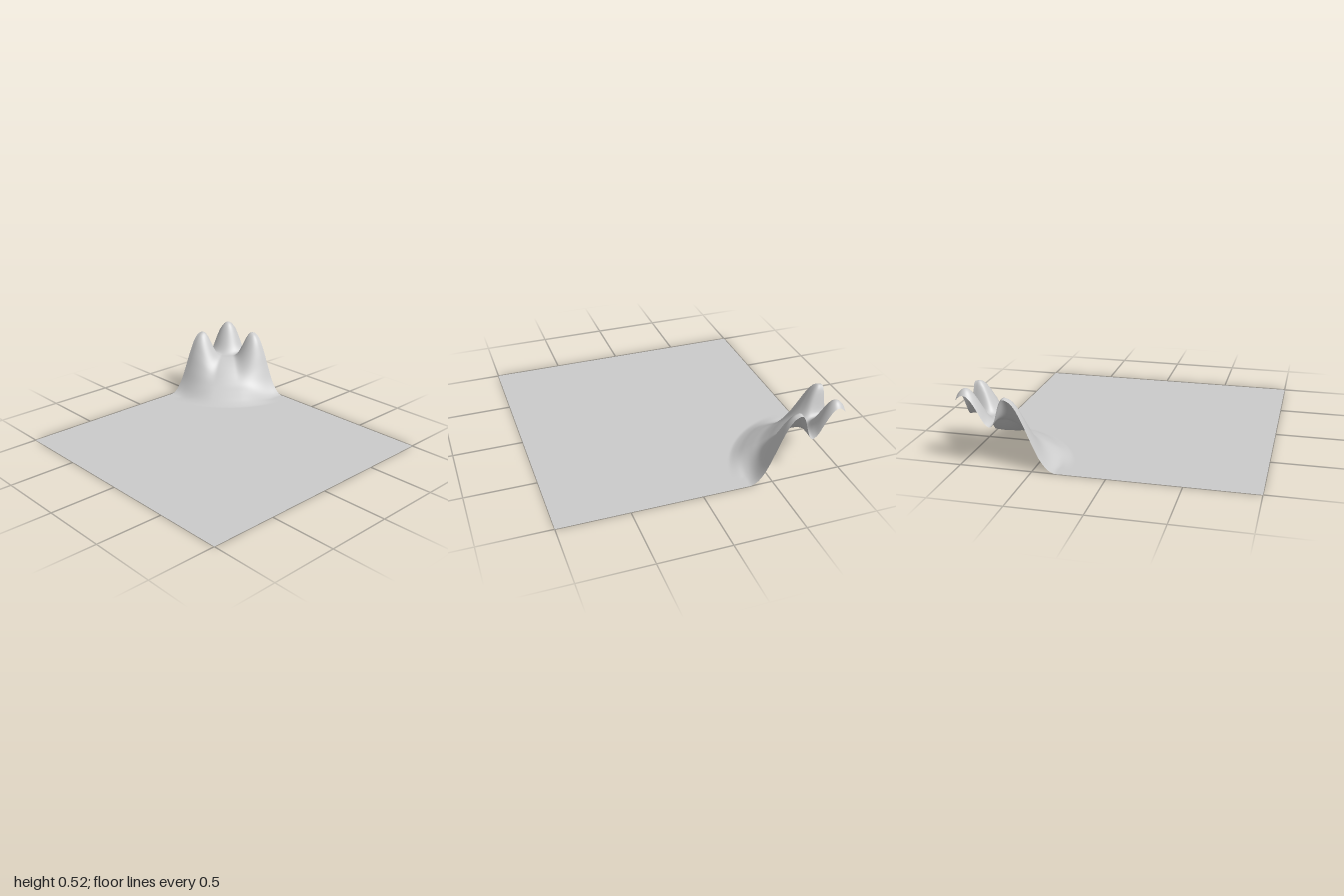
import * as THREE from 'three';

// Radial height profiles measured from the back corner, one value every 0.05 units
const STEP = 0.05;
const profile = (heights) => {
  const curve = new THREE.SplineCurve(heights.map((h, i) => new THREE.Vector2(i * STEP, h)));
  const reach = (heights.length - 1) * STEP;
  return (r) => curve.getPoint(Math.min(r / reach, 1)).y;
};
const peakProfile = profile([0.27, 0.27, 0.27, 0.27, 0.27, 0.31, 0.47, 0.48, 0.43, 0.33, 0.21, 0.1, 0.03, 0, 0, 0]);
const saddleProfile = profile([0.27, 0.27, 0.27, 0.27, 0.275, 0.28, 0.28, 0.265, 0.235, 0.195, 0.15, 0.11, 0.08, 0.05, 0.02, 0]);

// Height at (a, b), the distances from the corner along x and z
function heightAt(a, b) {
  const r = Math.hypot(a, b);
  if (r >= 0.75) return 0;
  // Two side peaks lie near the edges, with a low saddle on the diagonal
  const angle = THREE.MathUtils.radToDeg(Math.atan2(Math.min(a, b), Math.max(a, b)));
  const peak = (1 - THREE.MathUtils.smoothstep(angle, 5, 35)) * (1 - 0.03 * Math.max(0, 1 - angle / 5));
  const ring = THREE.MathUtils.lerp(saddleProfile(r), peakProfile(r), peak);
  // Rounded summit just inside the corner
  const d = Math.min(Math.hypot(a - 0.05, b - 0.05) / 0.2, 1);
  const summit = 0.255 * 0.5 * (1 + Math.cos(Math.PI * d));
  return Math.max(0, ring + summit);
}

export function createModel() {
  const group = new THREE.Group();
  group.name = 'terrain';

  // One sheet whose grid gets finer towards the mountain corner
  const geometry = new THREE.PlaneGeometry(2, 2, 160, 160).rotateX(-Math.PI / 2);
  const pos = geometry.attributes.position;
  const distance = (v) => {
    const u = (v + 1) / 2;
    return 2 * (0.4 * u + 0.6 * u * u);
  };
  for (let i = 0; i < pos.count; i++) {
    const a = distance(pos.getX(i));
    const b = distance(pos.getZ(i));
    pos.setXYZ(i, a - 1, heightAt(a, b), b - 1);
  }
  geometry.computeVertexNormals();

  const ground = new THREE.Mesh(
    geometry,
    new THREE.MeshStandardMaterial({ color: 0xcccccc, side: THREE.DoubleSide })
  );
  ground.name = 'groundWithMountain';
  group.add(ground);
  return group;
}
